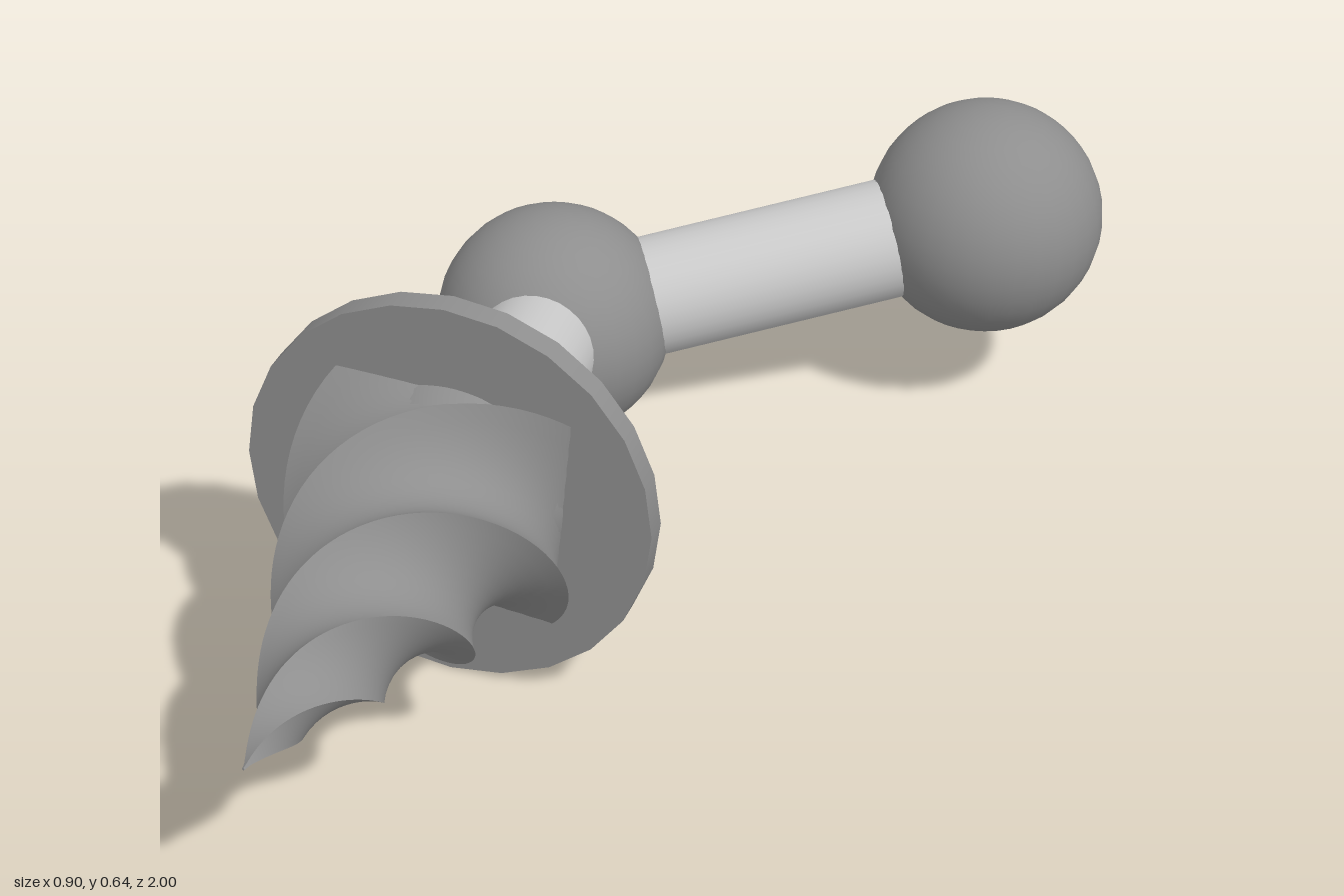
import * as THREE from 'three';

const light = new THREE.MeshStandardMaterial({ color: 0xcccccc });
const dark = new THREE.MeshStandardMaterial({ color: 0x8e8e8e });

function part(name, geometry, material) {
  const mesh = new THREE.Mesh(geometry, material);
  mesh.name = name;
  return mesh;
}

// Cylinder running between two joint centres
function rod(name, a, b, radius) {
  const span = b.clone().sub(a);
  const mesh = part(name, new THREE.CylinderGeometry(radius, radius, span.length(), 32), light);
  mesh.position.copy(a).addScaledVector(span, 0.5);
  mesh.quaternion.setFromUnitVectors(new THREE.Vector3(0, 1, 0), span.normalize());
  return mesh;
}

// Square bar tapered to a point and twisted along +z
function twistedSpike(side, length, twist) {
  const geometry = new THREE.BoxGeometry(side, side, length, 10, 10, 64);
  geometry.translate(0, 0, length / 2);
  const p = geometry.attributes.position;
  for (let i = 0; i < p.count; i++) {
    const t = p.getZ(i) / length;
    const scale = Math.max(1 - t, 0.008);
    const c = Math.cos(twist * t) * scale;
    const s = Math.sin(twist * t) * scale;
    const x = p.getX(i), y = p.getY(i);
    p.setXY(i, x * c - y * s, x * s + y * c);
  }
  geometry.computeVertexNormals(); // faces share no vertices, so ridges stay sharp
  return geometry;
}

export function createModel() {
  const model = new THREE.Group();
  model.name = 'jointedDrillArm';

  // Ball joints
  const joints = {
    shoulderBall: new THREE.Vector3(0.258, 0.333, -0.81),
    elbowBall: new THREE.Vector3(-0.259, 0.202, -0.32),
    wristBall: new THREE.Vector3(-0.018, 0.332, 0.25),
  };
  for (const [name, centre] of Object.entries(joints)) {
    const ball = part(name, new THREE.SphereGeometry(0.191, 32, 20), dark);
    ball.position.copy(centre);
    model.add(ball);
  }

  // Arm rods
  model.add(rod('upperArm', joints.shoulderBall, joints.elbowBall, 0.098));
  model.add(rod('forearm', joints.elbowBall, joints.wristBall, 0.098));

  // Guard disc and drill, turned slightly to the left
  const drill = new THREE.Group();
  drill.name = 'drillHead';
  drill.position.set(-0.012, 0.321, 0.3);
  drill.rotation.y = 0.24;
  const guard = part('guardDisc', new THREE.CylinderGeometry(0.32, 0.32, 0.04, 24), dark);
  guard.rotation.x = Math.PI / 2;
  const bit = part('drillBit', twistedSpike(0.37, 0.715, Math.PI * 1.8), dark);
  bit.rotation.set(0, -0.015, -0.22);
  drill.add(guard, bit);
  model.add(drill);

  return model;
}
